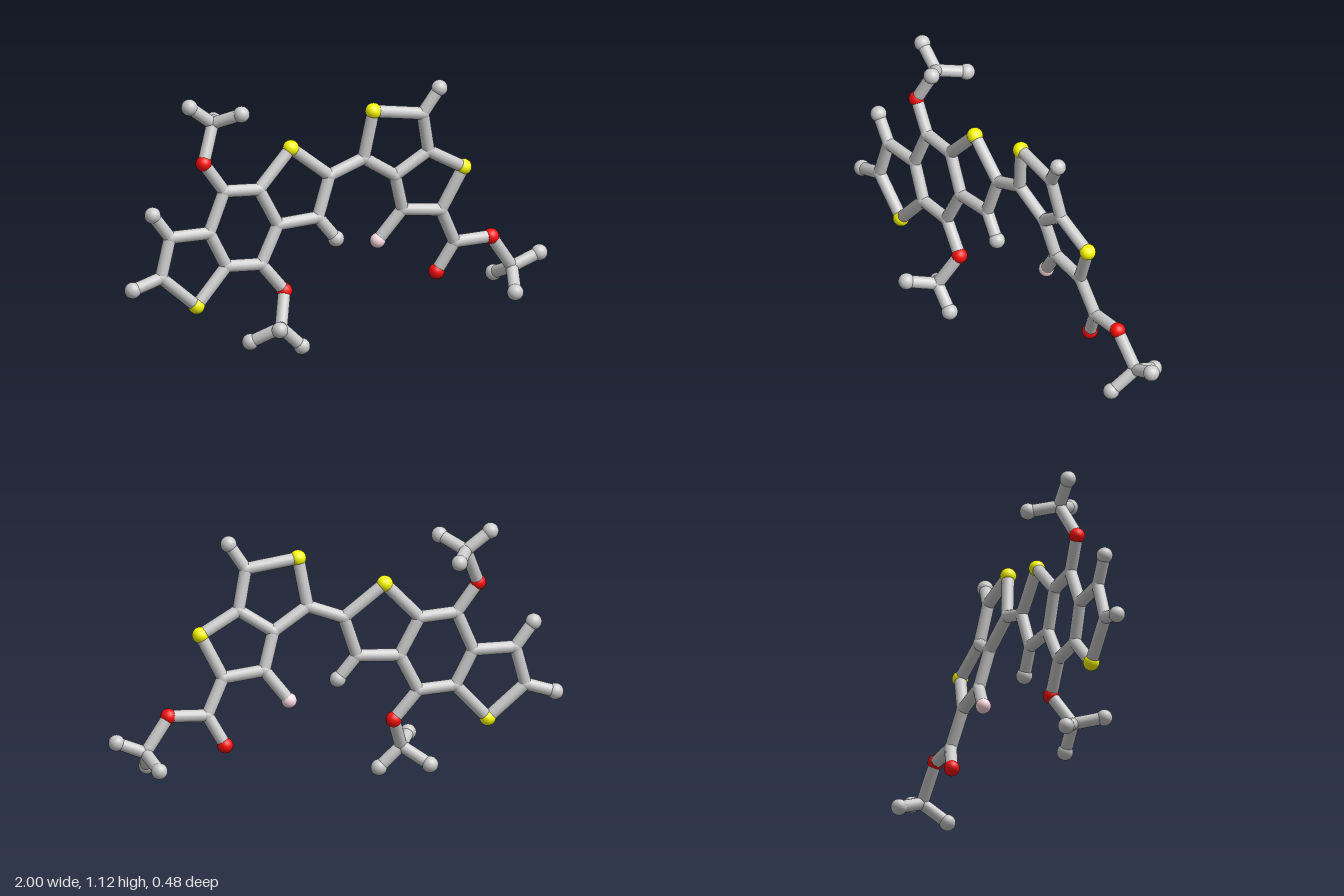
import * as THREE from 'three';

const BOND_RADIUS = 0.027;

// Atom kinds: part name, ball radius, colour
const KINDS = {
  C: ['carbonJoint', 0.029, 0xcccccc],
  H: ['endAtom', 0.035, 0xcccccc],
  S: ['sulfurAtom', 0.035, 0xffff00],
  O: ['oxygenAtom', 0.034, 0xff0d0d],
  F: ['paleAtom', 0.033, 0xffdde4],
};

// Each chunk lists atoms as id: [kind, x, y, z] and bonds as chains of ids
const CHUNKS = {
  fusedRings: {
    atoms: {
      a1: ['C', -0.837, 0.385, -0.015], a2: ['C', -0.79, 0.552, -0.025],
      a3: ['C', -0.607, 0.551, -0.018], a4: ['C', -0.532, 0.4, -0.005],
      s1: ['S', -0.676, 0.246, 0], a5: ['C', -0.532, 0.722, -0.025],
      a6: ['C', -0.37, 0.711, -0.02], a7: ['C', -0.286, 0.55, -0.008],
      a8: ['C', -0.37, 0.39, 0], s2: ['S', -0.215, 0.87, -0.026],
      a9: ['C', -0.04, 0.733, -0.01], a10: ['C', -0.1, 0.56, 0],
      h1: ['H', -0.967, 0.344, -0.024], h2: ['H', -0.868, 0.657, -0.033],
      h3: ['H', -0.02, 0.46, 0.012],
    },
    bonds: ['a1 a2 a3 a4 s1 a1', 'a3 a5 a6 a7 a8 a4', 'a6 s2 a9 a10 a7', 'a1 h1', 'a2 h2', 'a10 h3'],
  },
  upperMethoxy: {
    atoms: {
      o1: ['O', -0.622, 0.85, -0.04], m1: ['C', -0.553, 1.005, -0.09],
      h4: ['H', -0.658, 1.085, -0.1], h5: ['H', -0.466, 1.056, 0.005],
      h6: ['H', -0.49, 0.983, -0.205],
    },
    bonds: ['a5 o1 m1 h4', 'm1 h5', 'm1 h6'],
  },
  lowerMethoxy: {
    atoms: {
      o2: ['O', -0.267, 0.265, 0.015], m2: ['C', -0.322, 0.128, 0.09],
      h7: ['H', -0.425, 0.059, 0.007], h8: ['H', -0.228, 0.038, 0.1],
      h9: ['H', -0.388, 0.153, 0.205],
    },
    bonds: ['a8 o2 m2 h7', 'm2 h8', 'm2 h9'],
  },
  tiltedRings: {
    atoms: {
      b1: ['C', 0.117, 0.791, 0], s3: ['S', 0.152, 0.997, 0.022],
      b2: ['C', 0.377, 0.963, 0.04], b3: ['C', 0.415, 0.79, 0.018],
      b4: ['C', 0.27, 0.695, -0.008], s4: ['S', 0.585, 0.697, 0.012],
      b5: ['C', 0.495, 0.513, -0.02], b6: ['C', 0.318, 0.535, -0.033],
      h10: ['H', 0.446, 1.07, 0.06], f1: ['F', 0.217, 0.404, -0.063],
    },
    bonds: ['a9 b1 s3 b2 b3 b4 b1', 'b3 s4 b5 b6 b4', 'b2 h10', 'b6 f1'],
  },
  esterTail: {
    atoms: {
      e1: ['C', 0.57, 0.36, -0.04], o3: ['O', 0.5, 0.232, -0.07],
      o4: ['O', 0.737, 0.365, -0.028], m3: ['C', 0.842, 0.217, -0.04],
      h11: ['H', 0.965, 0.266, -0.026], h12: ['H', 0.805, 0.133, 0.062],
      h13: ['H', 0.817, 0.165, -0.16],
    },
    bonds: ['b5 e1 o3', 'e1 o4 m3 h11', 'm3 h12', 'm3 h13'],
  },
};

const UP = new THREE.Vector3(0, 1, 0);
const bondGeometry = new THREE.CylinderGeometry(BOND_RADIUS, BOND_RADIUS, 1, 16, 1, true);

// Unit-length rod stretched between two points
function makeBond(from, to, material) {
  const rod = new THREE.Mesh(bondGeometry, material);
  const dir = to.clone().sub(from);
  rod.name = 'bond';
  rod.scale.y = dir.length();
  rod.position.copy(from).addScaledVector(dir, 0.5);
  rod.quaternion.setFromUnitVectors(UP, dir.normalize());
  return rod;
}

export function createModel() {
  const model = new THREE.Group();
  model.name = 'ballAndStickMolecule';
  const grey = new THREE.MeshStandardMaterial({ color: 0xcccccc });

  // One shared ball geometry and material per kind
  const balls = {};
  for (const [kind, [name, radius, color]] of Object.entries(KINDS)) {
    balls[kind] = {
      name,
      geometry: new THREE.SphereGeometry(radius, 20, 14),
      material: color === 0xcccccc ? grey : new THREE.MeshStandardMaterial({ color }),
    };
  }

  const points = {};
  for (const [chunkName, { atoms, bonds }] of Object.entries(CHUNKS)) {
    const chunk = new THREE.Group();
    chunk.name = chunkName;

    // Balls
    for (const [id, [kind, x, y, z]] of Object.entries(atoms)) {
      const { name, geometry, material } = balls[kind];
      const ball = new THREE.Mesh(geometry, material);
      ball.name = name;
      ball.position.set(x, y, z);
      points[id] = ball.position;
      chunk.add(ball);
    }

    // Rods along every chain
    for (const chain of bonds) {
      const ids = chain.split(' ');
      for (let i = 1; i < ids.length; i++) {
        chunk.add(makeBond(points[ids[i - 1]], points[ids[i]], grey));
      }
    }
    model.add(chunk);
  }
  return model;
}
